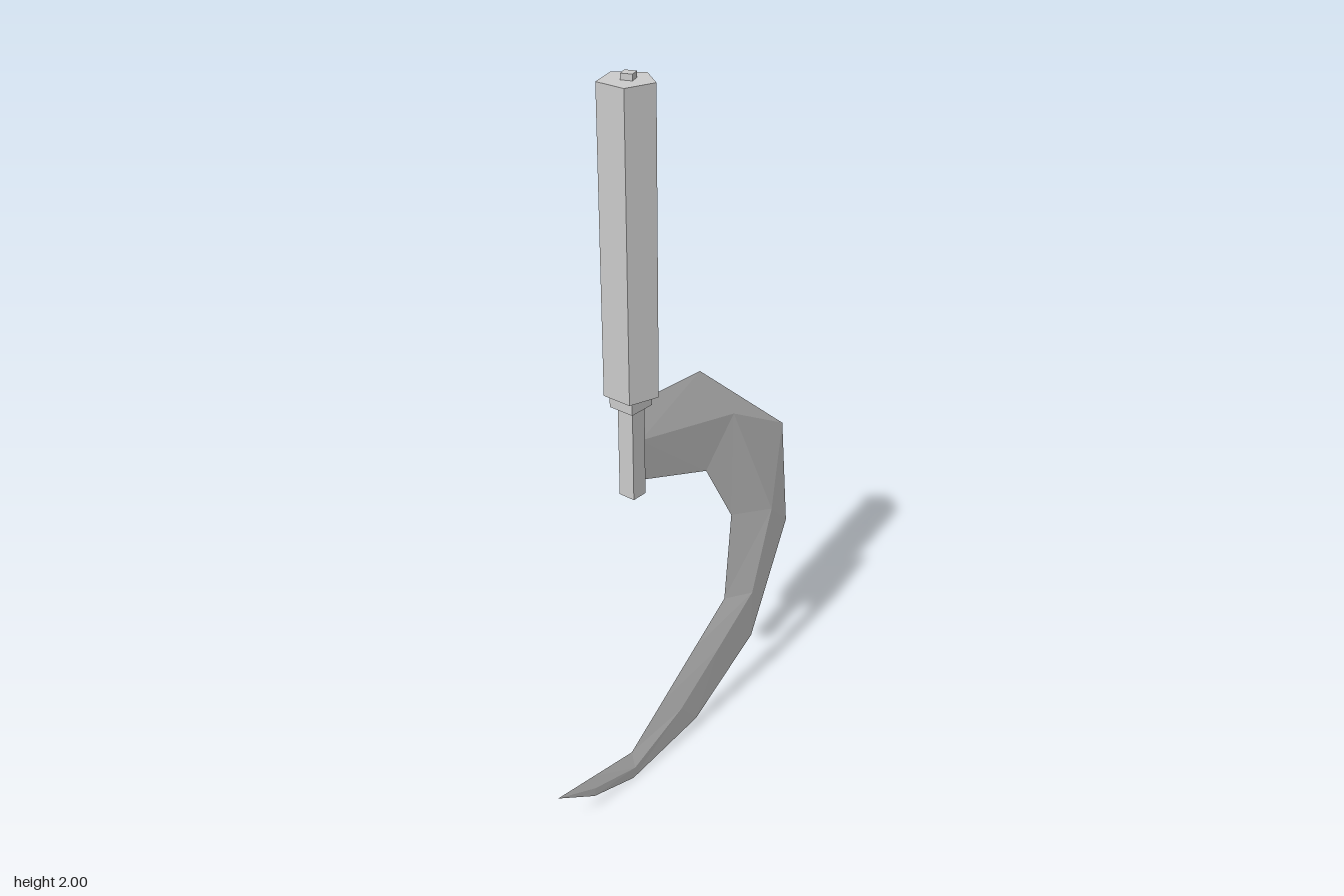
import * as THREE from 'three';

const material = new THREE.MeshStandardMaterial({ color: 0xcccccc, flatShading: true });

function addPart(group, name, geometry, x, y, z) {
  const mesh = new THREE.Mesh(geometry, material);
  mesh.name = name;
  mesh.position.set(x, y, z);
  group.add(mesh);
  return mesh;
}

// Blade stations: outer edge, ridge and inner edge as [z, y], then half thickness
const stations = [
  [[0.165, 1.18], [0.165, 1.08], [0.165, 0.96], 0.014],
  [[-0.085, 1.17], [-0.21, 1.0], [-0.115, 0.86], 0.017],
  [[-0.46, 0.86], [-0.4, 0.61], [-0.23, 0.665], 0.016],
  [[-0.497, 0.52], [-0.32, 0.36], [-0.205, 0.395], 0.014],
  [[-0.34, 0.19], [-0.17, 0.25], [-0.07, 0.298], 0.012],
  [[-0.08, 0.04], [0.0, 0.13], [0.07, 0.197], 0.01],
  [[0.2, 0.004], [0.2, 0.045], [0.205, 0.1], 0.007],
  [[0.36, 0.05], [0.36, 0.08], [0.36, 0.121], 0.004],
  [[0.5, 0.14], [0.5, 0.14], [0.5, 0.14], 0],
];

// Diamond cross-sections joined into a closed, tapering sickle
function bladeGeometry() {
  const positions = [];
  const index = [];
  for (const [outer, ridge, inner, t] of stations) {
    positions.push(0, outer[1], outer[0], t, ridge[1], ridge[0]);
    positions.push(0, inner[1], inner[0], -t, ridge[1], ridge[0]);
  }
  for (let s = 0; s < stations.length - 1; s++) {
    for (let k = 0; k < 4; k++) {
      const a = s * 4 + k, b = s * 4 + (k + 1) % 4;
      const c = a + 4, d = b + 4;
      // mirror the diagonal so both sides of the blade match
      if (k === 0 || k === 2) index.push(a, c, b, b, c, d);
      else index.push(a, d, b, a, c, d);
    }
  }
  index.push(0, 1, 2, 0, 2, 3);
  const geometry = new THREE.BufferGeometry();
  geometry.setAttribute('position', new THREE.Float32BufferAttribute(positions, 3));
  geometry.setIndex(index);
  geometry.computeVertexNormals();
  return geometry;
}

export function createModel() {
  const model = new THREE.Group();
  model.name = 'sickle';

  // Five-sided grip with its point towards the back
  addPart(model, 'handle', new THREE.CylinderGeometry(0.07, 0.07, 0.77, 5, 1, false, Math.PI), 0, 1.6, 0.179);
  // Small twisted end of the tang showing on top
  const peg = addPart(model, 'peg', new THREE.BoxGeometry(0.029, 0.04, 0.029), 0, 1.98, 0.173);
  peg.rotation.y = 0.38;
  addPart(model, 'collar', new THREE.BoxGeometry(0.072, 0.037, 0.073), 0, 1.1985, 0.184);
  addPart(model, 'tang', new THREE.BoxGeometry(0.047, 0.26, 0.045), 0, 1.06, 0.183);

  const blade = addPart(model, 'blade', bladeGeometry(), 0, 0, 0);
  blade.material = material.clone();
  blade.material.side = THREE.DoubleSide;
  return model;
}
